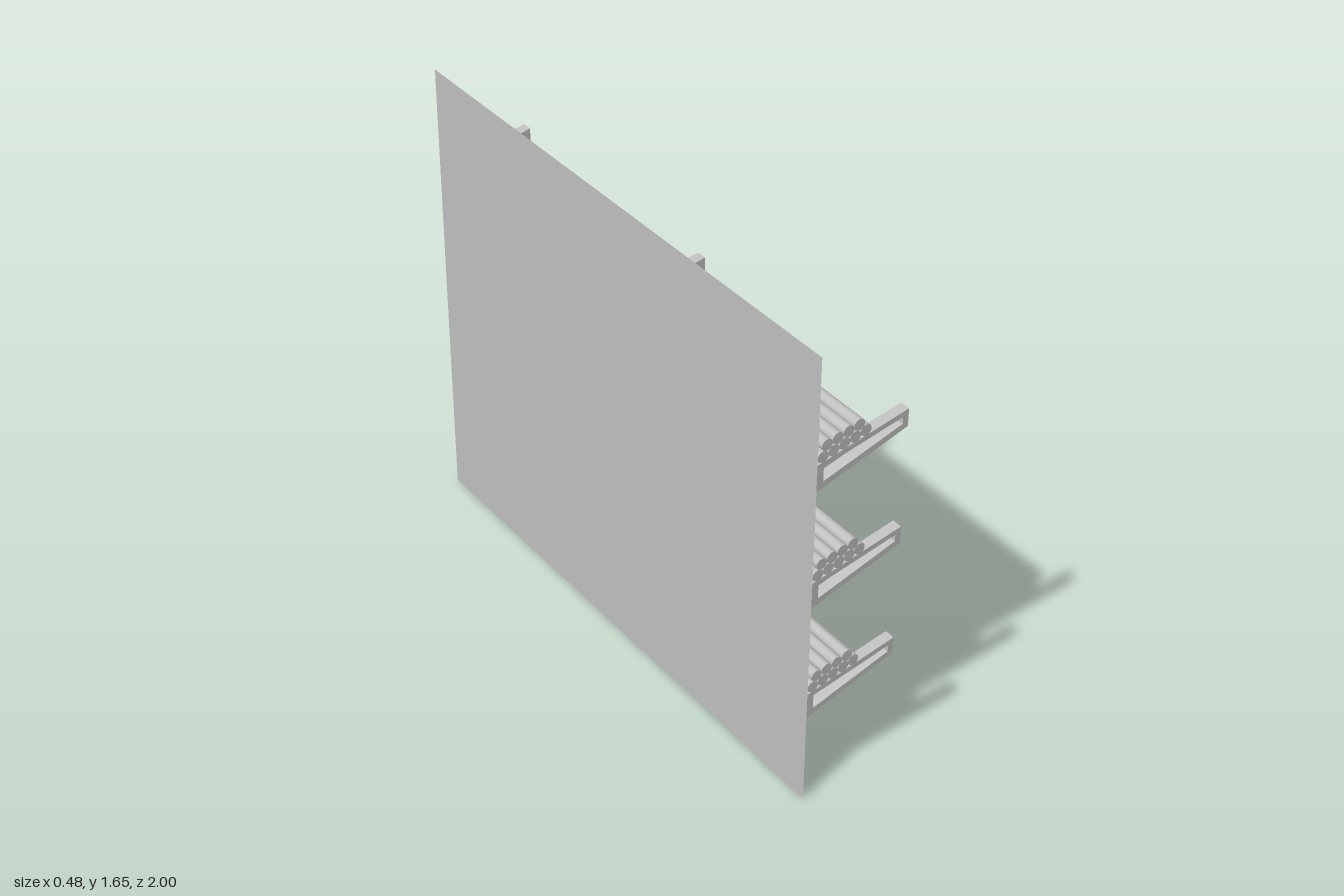
import * as THREE from 'three';

const LENGTH = 1.982;      // wall and pipe length
const HEIGHT = 1.655;      // wall height
const PIPE_R = 0.0195;
const SLOPE = 0.18;        // rise of the bracket's upper bar
const SHELF_STEP = 0.429;

// Closed tapering bracket frame with a tapered opening, centred on z
function bracketGeometry(width) {
  const frame = new THREE.Shape([[0, -0.094], [0.33, -0.003], [0.33, 0.059], [0, 0]]
    .map(([x, y]) => new THREE.Vector2(x, y)));
  frame.holes.push(new THREE.Path([[0.024, -0.065], [0.024, -0.014], [0.31, 0.037], [0.31, 0.013]]
    .map(([x, y]) => new THREE.Vector2(x, y))));
  return new THREE.ExtrudeGeometry(frame, { depth: width, bevelEnabled: false })
    .translate(0, 0, -width / 2);
}

export function createModel() {
  const model = new THREE.Group();
  model.name = 'pipeRack';
  const grey = new THREE.MeshStandardMaterial({ color: 0xc0c0c0, side: THREE.DoubleSide });
  grey.name = 'light grey';

  // The whole rack stands at a slight angle
  const rack = new THREE.Group();
  rack.name = 'rack';
  rack.position.set(-0.166, 0, -0.0115);
  rack.rotation.y = -0.0743;
  model.add(rack);

  function add(parent, geometry, name, x, y, z) {
    const mesh = new THREE.Mesh(geometry, grey);
    mesh.name = name;
    mesh.position.set(x, y, z);
    parent.add(mesh);
  }

  // Wall panel
  add(rack, new THREE.PlaneGeometry(LENGTH, HEIGHT).rotateY(Math.PI / 2), 'wall', 0, HEIGHT / 2, 0);

  const bracket = bracketGeometry(0.036);
  const pipe = new THREE.CylinderGeometry(PIPE_R, PIPE_R, LENGTH, 24).rotateX(Math.PI / 2);
  const tilt = Math.atan(SLOPE);

  for (let s = 0; s < 3; s++) {
    const shelf = new THREE.Group();
    shelf.name = 'shelf' + (s + 1);
    shelf.position.y = 0.427 + s * SHELF_STEP;
    rack.add(shelf);

    // Three brackets along the wall
    for (const z of [-0.972, 0, 0.972]) add(shelf, bracket, 'bracket', 0, 0, z);

    // Stacked pipes, five below and four above, resting on the sloping bars
    for (let row = 0; row < 2; row++) {
      for (let i = 0; i < 5 - row; i++) {
        const along = PIPE_R * (1.18 + 2 * i + row);
        const up = PIPE_R * (1 + row * Math.sqrt(3));
        add(shelf, pipe, 'pipe',
          along * Math.cos(tilt) - up * Math.sin(tilt),
          along * Math.sin(tilt) + up * Math.cos(tilt), 0);
      }
    }
  }
  return model;
}
